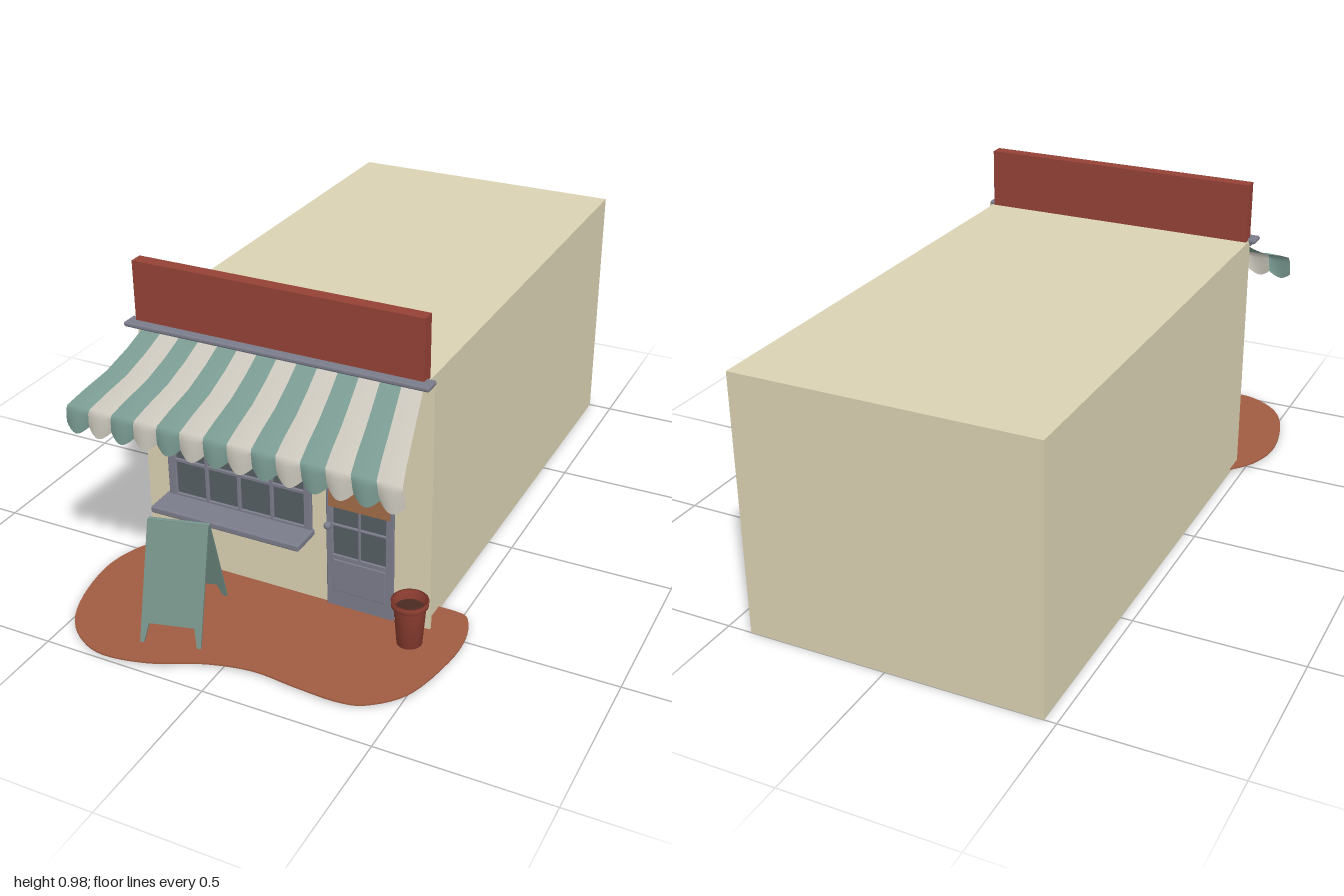
import * as THREE from 'three';
import { RoundedBoxGeometry } from 'three/addons/geometries/RoundedBoxGeometry.js';

const mat = (color, extra = {}) => {
  const m = new THREE.MeshStandardMaterial({ color });
  Object.assign(m, extra);
  return m;
};
const M = {
  wall: mat(0xdbd2b3), red: mat(0x944236), frame: mat(0x7b7c8a), glass: mat(0x565e62),
  green: mat(0x7a9b92, { side: THREE.DoubleSide }), white: mat(0xcac6bc, { side: THREE.DoubleSide }),
  paving: mat(0xa05c42), pot: mat(0x8e3e31, { side: THREE.DoubleSide }),
  board: mat(0x738f87), wood: mat(0xa26c48), soil: mat(0x4a2a22),
};

function add(parent, name, geometry, material) {
  const mesh = new THREE.Mesh(geometry, material);
  mesh.name = name;
  parent.add(mesh);
  return mesh;
}

// Box given by its limits on each axis
function box(parent, name, [x0, x1], [y0, y1], [z0, z1], material, radius = 0) {
  const s = [x1 - x0, y1 - y0, z1 - z0];
  const g = radius ? new RoundedBoxGeometry(...s, 3, radius) : new THREE.BoxGeometry(...s);
  const mesh = add(parent, name, g, material);
  mesh.position.set((x0 + x1) / 2, (y0 + y1) / 2, (z0 + z1) / 2);
  return mesh;
}

function rectPath(Type, x0, x1, y0, y1) {
  const p = new Type();
  p.moveTo(x0, y0).lineTo(x1, y0).lineTo(x1, y1).lineTo(x0, y1).closePath();
  return p;
}

// Glazed joinery: a slab with one opening per pane, and a glass sheet behind
function glazedFrame(parent, name, [x0, x1], [y0, y1], columns, rows, z, depth) {
  const shape = rectPath(THREE.Shape, x0, x1, y0, y1);
  for (const [a, b] of columns)
    for (const [c, d] of rows) shape.holes.push(rectPath(THREE.Path, a, b, c, d));
  const frame = add(parent, name, new THREE.ExtrudeGeometry(shape, {
    depth, bevelEnabled: true, bevelSize: 0.002, bevelThickness: 0.002, bevelOffset: -0.002, bevelSegments: 1,
  }), M.frame);
  frame.position.z = z;
  box(parent, name + 'Glass', [columns[0][0] - 0.005, columns.at(-1)[1] + 0.005],
    [rows[0][0] - 0.005, rows.at(-1)[1] + 0.005], [z - 0.003, z + 0.003], M.glass);
}

// One striped strip of awning: sloping cloth, then a puffed hanging scallop
function awningStrip(i, count) {
  const rows = [ // left x, right x, y, z
    [-0.44, 0.415, 0.778, 0.508], [-0.455, 0.43, 0.735, 0.58], [-0.475, 0.447, 0.695, 0.655],
    [-0.497, 0.468, 0.668, 0.735], [-0.514, 0.484, 0.645, 0.79], [-0.518, 0.488, 0.632, 0.797],
    [-0.521, 0.491, 0.605, 0.799], [-0.524, 0.494, 0.588, 0.8],
  ];
  const cols = 8, position = [], index = [];
  rows.forEach(([l, r, y, z], j) => {
    const hang = Math.max(0, j - 4) / 3;
    for (let k = 0; k <= cols; k++) {
      const arc = Math.sin(Math.PI * k / cols);
      position.push(l + (r - l) * (i + k / cols) / count,
        y - 0.022 * hang * arc + (j < 5 ? 0.003 * arc * j / 4 : 0),
        z - 0.012 * hang * (1 - arc));
      if (j && k) {
        const d = j * (cols + 1) + k, c = d - 1, b = d - cols - 1, a = b - 1;
        index.push(a, c, b, b, c, d);
      }
    }
  });
  const g = new THREE.BufferGeometry();
  g.setAttribute('position', new THREE.Float32BufferAttribute(position, 3));
  g.setIndex(index);
  g.computeVertexNormals();
  return g;
}

// Folding pavement board with two legged panels meeting at the top
function pavementBoard() {
  const group = new THREE.Group();
  group.name = 'pavementBoard';
  const rise = 0.322, spread = 0.125, length = Math.hypot(rise, spread), w = 0.0875, leg = 0.014, gap = 0.055;
  const s = new THREE.Shape();
  s.moveTo(-w, 0).lineTo(w, 0).lineTo(w, -length).lineTo(w - leg * 0.8, -length)
    .lineTo(w - leg * 1.6, -length + gap).lineTo(-w + leg * 1.6, -length + gap)
    .lineTo(-w + leg * 0.8, -length).lineTo(-w, -length).closePath();
  for (const side of [1, -1]) {
    const pivot = new THREE.Group();
    pivot.rotation.y = side > 0 ? 0 : Math.PI;
    const panel = add(pivot, side > 0 ? 'boardFront' : 'boardBack',
      new THREE.ExtrudeGeometry(s, { depth: 0.008, bevelEnabled: false }), M.board);
    panel.position.y = rise;
    panel.rotation.x = -Math.atan2(spread, rise);
    group.add(pivot);
  }
  group.position.set(-0.203, 0.013, 0.757);
  group.rotation.y = 0.25;
  return group;
}

export function createModel() {
  const shop = new THREE.Group();
  shop.name = 'shop';

  // Building
  box(shop, 'building', [-0.465, 0.425], [0, 0.79], [-1, 0.5], M.wall);
  box(shop, 'frontWall', [-0.465, 0.445], [0.008, 0.785], [0.495, 0.506], M.wall);
  box(shop, 'fasciaBoard', [-0.46, 0.42], [0.79, 0.975], [0.48, 0.52], M.red);
  box(shop, 'cornice', [-0.485, 0.445], [0.781, 0.796], [0.495, 0.547], M.frame, 0.006);
  box(shop, 'corniceMoulding', [-0.47, 0.432], [0.772, 0.784], [0.5, 0.53], M.frame, 0.004);

  // Window
  glazedFrame(shop, 'window', [-0.39, 0.08], [0.24, 0.63],
    [[-0.362, -0.266], [-0.254, -0.16], [-0.148, -0.053], [-0.041, 0.056]],
    [[0.255, 0.359], [0.371, 0.472], [0.484, 0.595]], 0.507, 0.007);
  box(shop, 'windowSill', [-0.4, 0.085], [0.225, 0.247], [0.5, 0.604], M.frame, 0.006);

  // Door
  glazedFrame(shop, 'door', [0.127, 0.335], [0.01, 0.63],
    [[0.148, 0.226], [0.234, 0.311]],
    [[0.187, 0.281], [0.289, 0.38], [0.388, 0.474], [0.482, 0.595]], 0.507, 0.006);
  box(shop, 'doorLowerPanel', [0.147, 0.311], [0.065, 0.172], [0.508, 0.518], M.frame, 0.003);
  box(shop, 'doorSign', [0.137, 0.325], [0.347, 0.437], [0.514, 0.521], M.wood);
  const stem = add(shop, 'doorKnobStem', new THREE.CylinderGeometry(0.005, 0.007, 0.015, 12), M.frame);
  stem.rotation.x = Math.PI / 2;
  stem.position.set(0.138, 0.286, 0.52);
  add(shop, 'doorKnob', new THREE.SphereGeometry(0.011, 16, 12), M.frame).position.set(0.138, 0.286, 0.528);

  // Awning
  const awning = new THREE.Group();
  awning.name = 'awning';
  for (let i = 0; i < 14; i++)
    add(awning, 'awningStripe', awningStrip(i, 14), i % 2 ? M.white : M.green);
  shop.add(awning);

  // Paving patch
  const outline = [[-0.46, 0.43], [-0.52, 0.51], [-0.55, 0.63], [-0.53, 0.78], [-0.48, 0.9], [-0.4, 0.97],
    [-0.31, 0.995], [-0.18, 0.97], [-0.05, 0.91], [0.085, 0.88], [0.22, 0.89], [0.35, 0.895], [0.43, 0.87],
    [0.51, 0.78], [0.55, 0.61], [0.55, 0.49], [0.52, 0.41], [0.48, 0.395], [0.42, 0.395]];
  const patch = new THREE.Shape();
  patch.moveTo(outline[0][0], -outline[0][1]);
  patch.splineThru(outline.slice(1).map(([x, z]) => new THREE.Vector2(x, -z)));
  patch.closePath();
  const paving = add(shop, 'paving',
    new THREE.ExtrudeGeometry(patch, { depth: 0.005, bevelEnabled: false, curveSegments: 4 }), M.paving);
  paving.rotation.x = -Math.PI / 2;
  paving.position.y = 0.009;

  // Plant pot
  const pot = new THREE.Group();
  pot.name = 'plantPot';
  const profile = [[0, 0], [0.036, 0], [0.046, 0.125], [0.052, 0.125], [0.053, 0.142], [0.045, 0.142], [0.042, 0.105]];
  const potGeometry = new THREE.LatheGeometry(profile.map(([r, y]) => new THREE.Vector2(r, y)), 32);
  add(pot, 'potBody', potGeometry, M.pot);
  add(pot, 'potSoil', new THREE.CylinderGeometry(0.043, 0.043, 0.006, 32), M.soil).position.y = 0.112;
  pot.position.set(0.417, 0.013, 0.582);
  shop.add(pot);

  shop.add(pavementBoard());
  return shop;
}
